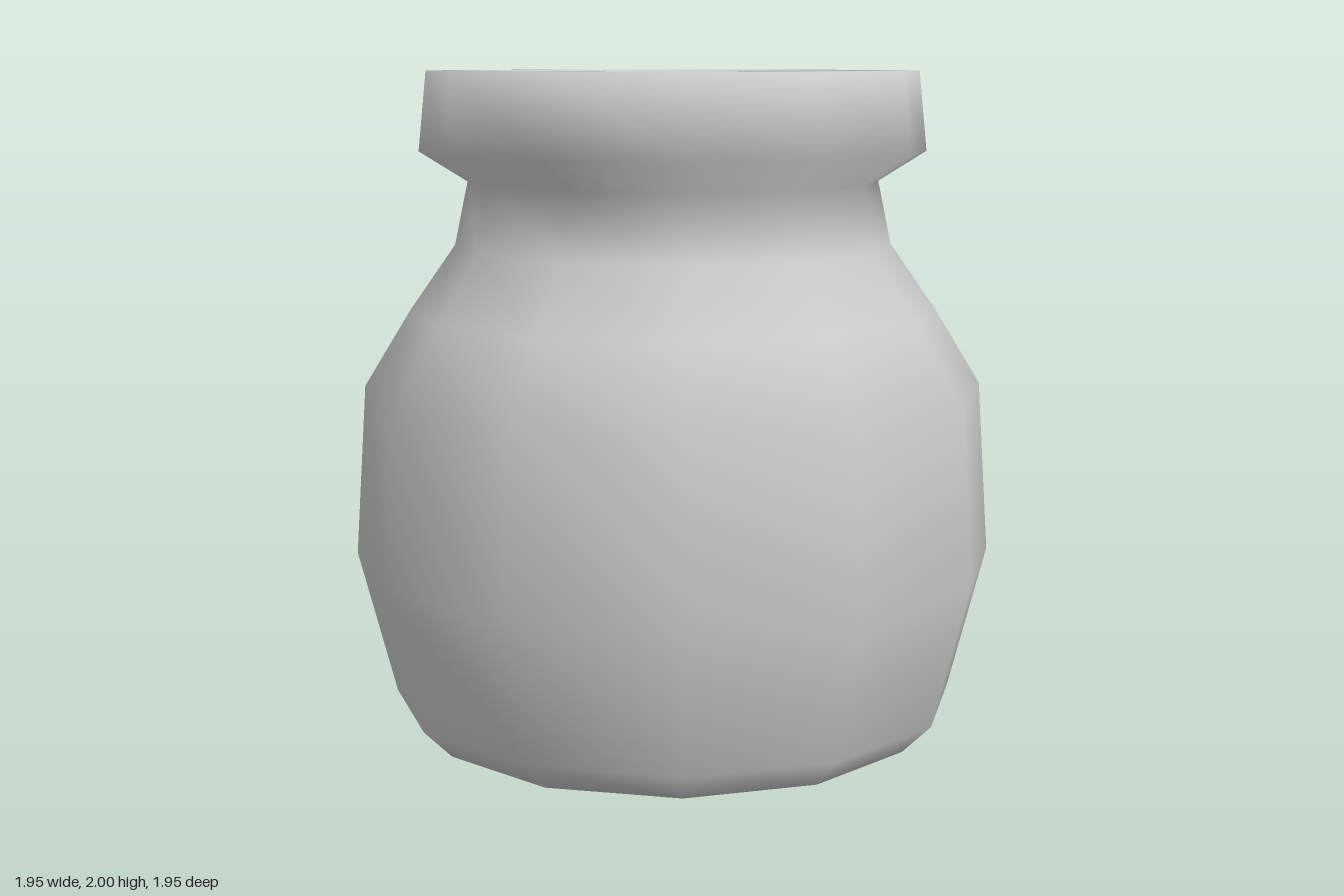
import * as THREE from 'three';

export function createModel() {
  const group = new THREE.Group();
  group.name = 'jar';

  // Outside: base, belly, shoulder, neck and collar
  const outside = [
    [0, 0], [0.77, 0], [0.86, 0.09], [0.975, 0.53], [0.94, 1.05], [0.8, 1.28],
    [0.66, 1.48], [0.62, 1.67], [0.765, 1.76], [0.74, 2],
  ];
  // Inside: mouth, neck, hollow belly and floor
  const inside = [
    [0.56, 2], [0.525, 1.76], [0.525, 1.66], [0.57, 1.46], [0.71, 1.24],
    [0.84, 1.02], [0.87, 0.54], [0.78, 0.17], [0.72, 0.1], [0, 0.1],
  ];

  // One smooth-shaded wall turned with twelve sides
  const profile = [...outside, ...inside].map(([r, y]) => new THREE.Vector2(r, y));
  const wall = new THREE.Mesh(
    new THREE.LatheGeometry(profile, 12),
    new THREE.MeshStandardMaterial({ color: 0xcccccc })
  );
  wall.name = 'jarWall';
  group.add(wall);
  return group;
}
